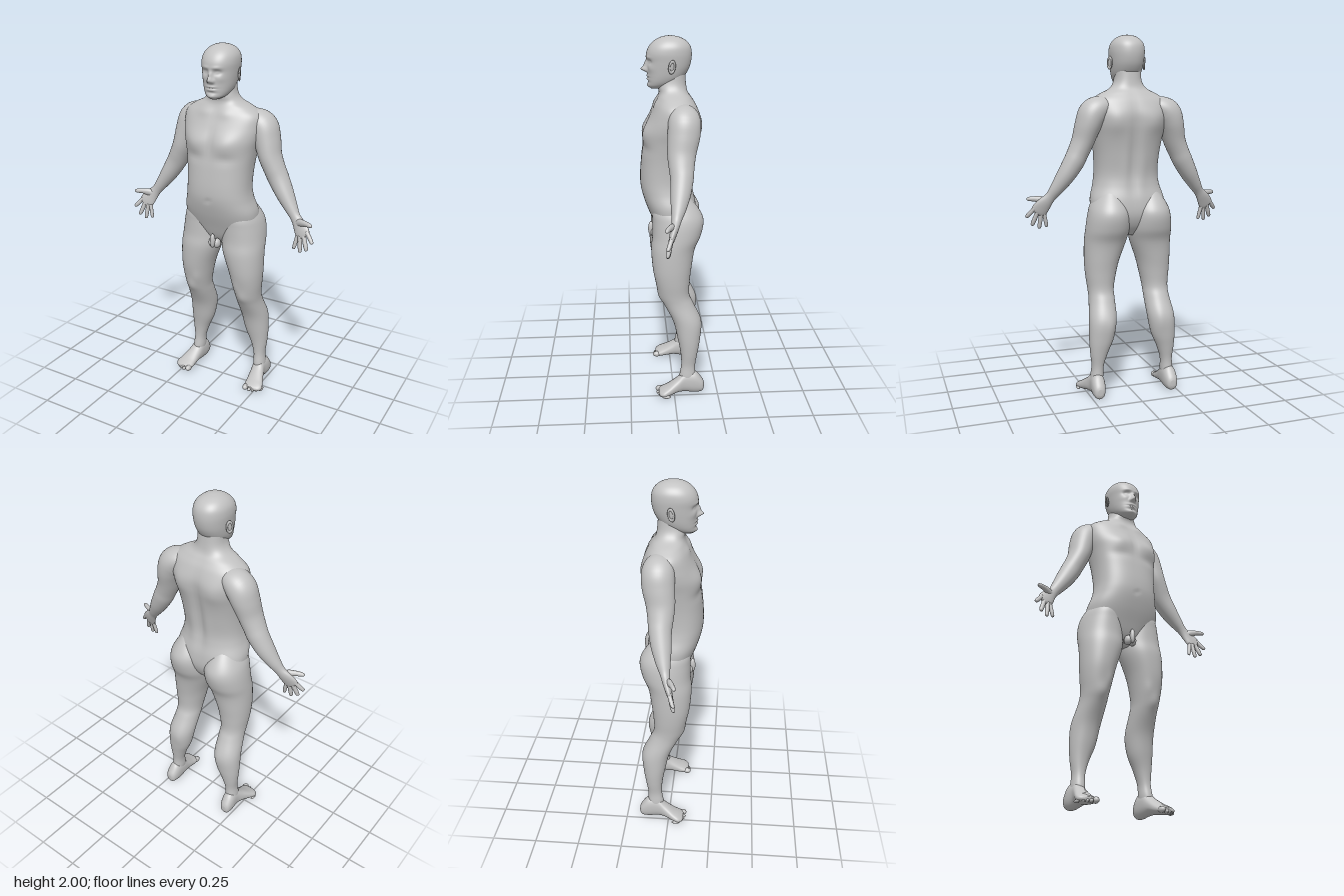
import * as THREE from 'three';

const skin = new THREE.MeshStandardMaterial({ color: 0xc2c2c2 });
skin.name = 'plain grey';

// Catmull-Rom interpolation of table rows
function rowAt(rows, t) {
  const n = rows.length - 1;
  t = Math.min(Math.max(t, 0), n);
  const i = Math.min(Math.floor(t), n - 1), f = t - i;
  const a = rows[Math.max(i - 1, 0)], b = rows[i], c = rows[i + 1], d = rows[Math.min(i + 2, n)];
  return b.map((_, k) => 0.5 * (2 * b[k] + (c[k] - a[k]) * f +
    (2 * a[k] - 5 * b[k] + 4 * c[k] - d[k]) * f * f + (3 * b[k] - a[k] - 3 * c[k] + d[k]) * f * f * f));
}

// Closed smooth skin over rings; place(row, angle, t) gives each point
function loft(rows, segs, steps, place, mirror = 1) {
  const pos = [], idx = [], n = (rows.length - 1) * steps;
  const centre = [[0, 0, 0], [0, 0, 0]];
  for (let i = 0; i <= n; i++) {
    const t = i / steps, row = rowAt(rows, t);
    for (let j = 0; j < segs; j++) {
      const p = place(row, (j / segs) * Math.PI * 2, t);
      p[0] *= mirror;
      pos.push(...p);
      if (i === 0 || i === n) p.forEach((v, k) => { centre[i ? 1 : 0][k] += v / segs; });
      const a = i * segs + j, b = i * segs + (j + 1) % segs;
      if (i < n) idx.push(a, a + segs, b, b, a + segs, b + segs);
    }
  }
  const c0 = pos.length / 3;
  pos.push(...centre[0], ...centre[1]);
  for (let j = 0; j < segs; j++) {
    const k = (j + 1) % segs;
    idx.push(c0, j, k, c0 + 1, n * segs + k, n * segs + j);
  }
  // Turn the faces outward when the enclosed volume is negative
  const P = (i) => new THREE.Vector3().fromArray(pos, i * 3);
  let volume = 0;
  for (let i = 0; i < idx.length; i += 3) volume += P(idx[i]).dot(P(idx[i + 1]).cross(P(idx[i + 2])));
  if (volume < 0) idx.reverse();
  const g = new THREE.BufferGeometry();
  g.setAttribute('position', new THREE.Float32BufferAttribute(pos, 3));
  g.setIndex(idx);
  g.computeVertexNormals();
  return g;
}

const power = (v, e) => Math.sign(v) * Math.abs(v) ** e;

// Level ring [y, xMin, xMax, zFront, zBack] with bumps [x, y, sizeX, sizeY, dz, side]
const levelRing = (bumps = [], e = 0.9) => ([y, x0, x1, zf, zb], a) => {
  const s = Math.sin(a);
  const x = (x0 + x1) / 2 + power(Math.cos(a), e) * (x1 - x0) / 2;
  let z = (zf + zb) / 2 + power(s, e) * (zf - zb) / 2;
  for (const [bx, by, sx, sy, dz, side] of bumps) {
    const w = Math.min(1, Math.max(0, s * side * 2));
    z += w * dz * Math.exp(-(((Math.abs(x) - bx) / sx) ** 2) - ((y - by) / sy) ** 2);
  }
  return [x, y, z];
};
const symmetric = (rows) => rows.map(([y, w, f, b]) => [y, -w, w, f, b]);

// Ring across a path in the xy plane: [x, y, z, radius, zRadius]
const limbRing = (rows) => ([x, y, z, r, rz], a, t) => {
  const p = rowAt(rows, t - 0.05), q = rowAt(rows, t + 0.05);
  const dx = q[0] - p[0], dy = q[1] - p[1], l = Math.hypot(dx, dy) || 1, c = Math.cos(a) * r;
  return [x - dy / l * c, y + dx / l * c, z + Math.sin(a) * rz];
};

function digitRows(a, b, r) {
  return [[0, 1], [0.35, 0.95], [0.65, 0.95], [0.9, 0.8], [0.98, 0.5], [1, 0.15]].map(([t, s]) =>
    [0, 1, 2].map((k) => a[k] + (b[k] - a[k]) * t).concat(r * s, r * s));
}

export function createModel() {
  const root = new THREE.Group();
  root.name = 'standingFigure';
  const add = (name, geometry, parent = root) => {
    const m = new THREE.Mesh(geometry, skin);
    m.name = name;
    parent.add(m);
    return m;
  };
  const ball = (name, x, y, z, rx, ry, rz, parent) => {
    const m = add(name, new THREE.SphereGeometry(1, 24, 16), parent);
    m.position.set(x, y, z);
    m.scale.set(rx, ry, rz);
    return m;
  };

  // Torso and neck, with chest, shoulder blades and spine
  const torso = symmetric([
    [0.90, 0.04, 0.05, -0.05], [0.95, 0.13, 0.085, -0.10], [1.02, 0.20, 0.115, -0.13],
    [1.10, 0.212, 0.147, -0.13], [1.18, 0.19, 0.17, -0.112], [1.25, 0.181, 0.175, -0.107],
    [1.35, 0.185, 0.168, -0.122], [1.45, 0.20, 0.157, -0.14], [1.52, 0.217, 0.145, -0.15],
    [1.58, 0.225, 0.123, -0.15], [1.64, 0.218, 0.095, -0.13], [1.68, 0.165, 0.076, -0.105],
    [1.71, 0.105, 0.07, -0.085], [1.75, 0.077, 0.075, -0.076], [1.82, 0.068, 0.05, -0.07]]);
  add('torso', loft(torso, 80, 6, levelRing([
    [0.09, 1.50, 0.07, 0.055, 0.017, 1], [0.09, 1.42, 0.06, 0.025, -0.006, 1],
    [0, 1.50, 0.02, 0.09, -0.006, 1], [0, 1.185, 0.012, 0.012, -0.006, 1],
    [0, 1.38, 0.028, 0.2, 0.016, -1], [0.11, 1.53, 0.06, 0.07, -0.014, -1],
    [0.05, 1.25, 0.03, 0.1, -0.006, -1], [0.06, 1.655, 0.04, 0.03, 0.008, 1]], 0.86)));

  // Head with brow, eye sockets, nose, mouth and chin
  const head = symmetric([
    [1.727, 0.025, 0.11, 0.04], [1.74, 0.05, 0.124, 0.01], [1.76, 0.067, 0.127, -0.03],
    [1.79, 0.079, 0.128, -0.065], [1.83, 0.087, 0.13, -0.09], [1.87, 0.092, 0.132, -0.102],
    [1.91, 0.095, 0.134, -0.105], [1.945, 0.09, 0.12, -0.098], [1.972, 0.073, 0.095, -0.077],
    [1.99, 0.047, 0.063, -0.045], [1.998, 0.02, 0.033, -0.013], [2.0, 0.004, 0.014, 0.006]]);
  add('head', loft(head, 112, 8, levelRing([
    [0, 1.828, 0.013, 0.013, 0.030, 1], [0, 1.852, 0.011, 0.022, 0.016, 1],
    [0.015, 1.822, 0.008, 0.009, 0.009, 1], [0.036, 1.868, 0.019, 0.013, -0.013, 1],
    [0.035, 1.867, 0.011, 0.007, 0.006, 1], [0.03, 1.891, 0.028, 0.009, 0.005, 1],
    [0, 1.794, 0.025, 0.006, 0.007, 1], [0, 1.778, 0.022, 0.006, 0.007, 1],
    [0, 1.786, 0.028, 0.003, -0.005, 1], [0, 1.763, 0.03, 0.006, -0.004, 1],
    [0, 1.743, 0.022, 0.012, 0.007, 1], [0.052, 1.835, 0.02, 0.018, 0.004, 1]], 0.92)));

  // Front of the groin
  const groin = new THREE.Group();
  groin.name = 'groin';
  root.add(groin);
  for (const s of [-1, 1]) ball('groinSide', s * 0.015, 0.915, 0.095, 0.02, 0.028, 0.025, groin);
  ball('groinCentre', 0, 0.935, 0.118, 0.015, 0.042, 0.016, groin);

  for (const s of [1, -1]) {
    const side = s > 0 ? 'left' : 'right';

    // Ear
    const ear = new THREE.Group();
    ear.name = side + 'Ear';
    ear.position.set(s * 0.098, 1.848, 0.006);
    ear.rotation.set(-0.15, s * 0.4, 0);
    root.add(ear);
    ball('earShell', 0, 0, 0, 0.006, 0.03, 0.017, ear);
    const rim = add('earRim', new THREE.TorusGeometry(0.016, 0.005, 10, 28), ear);
    rim.rotation.y = Math.PI / 2;
    rim.scale.y = 1.75;
    rim.position.x = s * 0.003;

    // Leg from buttock to ankle
    const leg = [
      [1.16, 0.06, 0.165, 0.085, -0.085], [1.08, 0.02, 0.215, 0.112, -0.145],
      [1.02, 0.006, 0.235, 0.113, -0.167], [0.94, 0.004, 0.246, 0.114, -0.152],
      [0.865, 0.018, 0.25, 0.122, -0.119], [0.76, 0.055, 0.25, 0.115, -0.10],
      [0.68, 0.075, 0.245, 0.10, -0.09], [0.60, 0.09, 0.236, 0.078, -0.088],
      [0.54, 0.092, 0.236, 0.052, -0.112], [0.44, 0.096, 0.25, 0.003, -0.155],
      [0.335, 0.115, 0.253, -0.022, -0.15], [0.25, 0.15, 0.248, -0.038, -0.135],
      [0.175, 0.173, 0.24, -0.042, -0.122], [0.11, 0.176, 0.246, -0.032, -0.125],
      [0.05, 0.185, 0.245, -0.03, -0.135]];
    add(side + 'Leg', loft(leg, 56, 5, levelRing([
      [0.165, 0.595, 0.035, 0.04, 0.009, 1], [0.125, 0.66, 0.025, 0.04, 0.006, 1],
      [0.14, 0.41, 0.03, 0.07, -0.005, -1]], 0.95), s));

    // Foot, ringed from heel to toes: [z, xCentre, halfWidth, yTop, yBottom]
    const foot = [
      [-0.172, 0.216, 0.014, 0.065, 0.03], [-0.16, 0.216, 0.03, 0.09, 0.008],
      [-0.12, 0.214, 0.039, 0.135, 0], [-0.065, 0.213, 0.038, 0.135, 0.006],
      [-0.02, 0.222, 0.043, 0.098, 0.01], [0.03, 0.234, 0.052, 0.064, 0.002],
      [0.06, 0.239, 0.055, 0.048, 0], [0.08, 0.236, 0.046, 0.037, 0.006],
      [0.088, 0.232, 0.03, 0.03, 0.012]];
    add(side + 'Foot', loft(foot, 40, 5, ([z, x, w, t, b], a) =>
      [x + Math.cos(a) * w, (t + b) / 2 + power(Math.sin(a), 0.85) * (t - b) / 2, z], s));
    for (let i = 0; i < 5; i++) {
      const r = i ? 0.0115 - i * 0.0006 : 0.017;
      ball(side + 'Toe', s * (0.2 + (i ? 0.008 : 0) + i * 0.0195), r + 0.002, 0.082 - i * i * 0.0022, r, r, 0.024);
    }

    // Arm and palm in one skin
    const arm = [
      [0.12, 1.61, -0.045, 0.045, 0.06], [0.17, 1.605, -0.05, 0.066, 0.078],
      [0.215, 1.575, -0.052, 0.078, 0.085], [0.243, 1.51, -0.047, 0.07, 0.084],
      [0.267, 1.43, -0.035, 0.061, 0.075], [0.295, 1.365, -0.032, 0.057, 0.066],
      [0.322, 1.31, -0.032, 0.056, 0.06], [0.367, 1.235, -0.022, 0.048, 0.052],
      [0.412, 1.168, -0.008, 0.036, 0.037], [0.443, 1.125, 0.004, 0.029, 0.025],
      [0.472, 1.09, 0.016, 0.038, 0.021], [0.495, 1.058, 0.028, 0.044, 0.017],
      [0.508, 1.04, 0.034, 0.038, 0.013], [0.513, 1.033, 0.036, 0.02, 0.007]];
    add(side + 'Arm', loft(arm, 44, 5, limbRing(arm), s));

    // Fingers and thumb
    const digits = [
      [[0.52, 1.068, 0.03], [0.568, 1.013, 0.055], 0.0125],
      [[0.505, 1.05, 0.033], [0.536, 0.966, 0.055], 0.0128],
      [[0.487, 1.038, 0.034], [0.497, 0.948, 0.05], 0.0122],
      [[0.472, 1.035, 0.032], [0.456, 0.957, 0.042], 0.011]];
    for (const [a, b, r] of digits) {
      const rows = digitRows(a, b, r);
      add(side + 'Finger', loft(rows, 18, 4, limbRing(rows), s));
    }
    const thumb = [
      [0.458, 1.095, 0.016, 0.02, 0.016], [0.485, 1.108, 0.028, 0.021, 0.017],
      [0.515, 1.114, 0.042, 0.015, 0.014], [0.542, 1.114, 0.053, 0.0125, 0.012],
      [0.558, 1.113, 0.058, 0.008, 0.008], [0.562, 1.113, 0.059, 0.002, 0.002]];
    add(side + 'Thumb', loft(thumb, 20, 4, limbRing(thumb), s));
  }
  return root;
}
